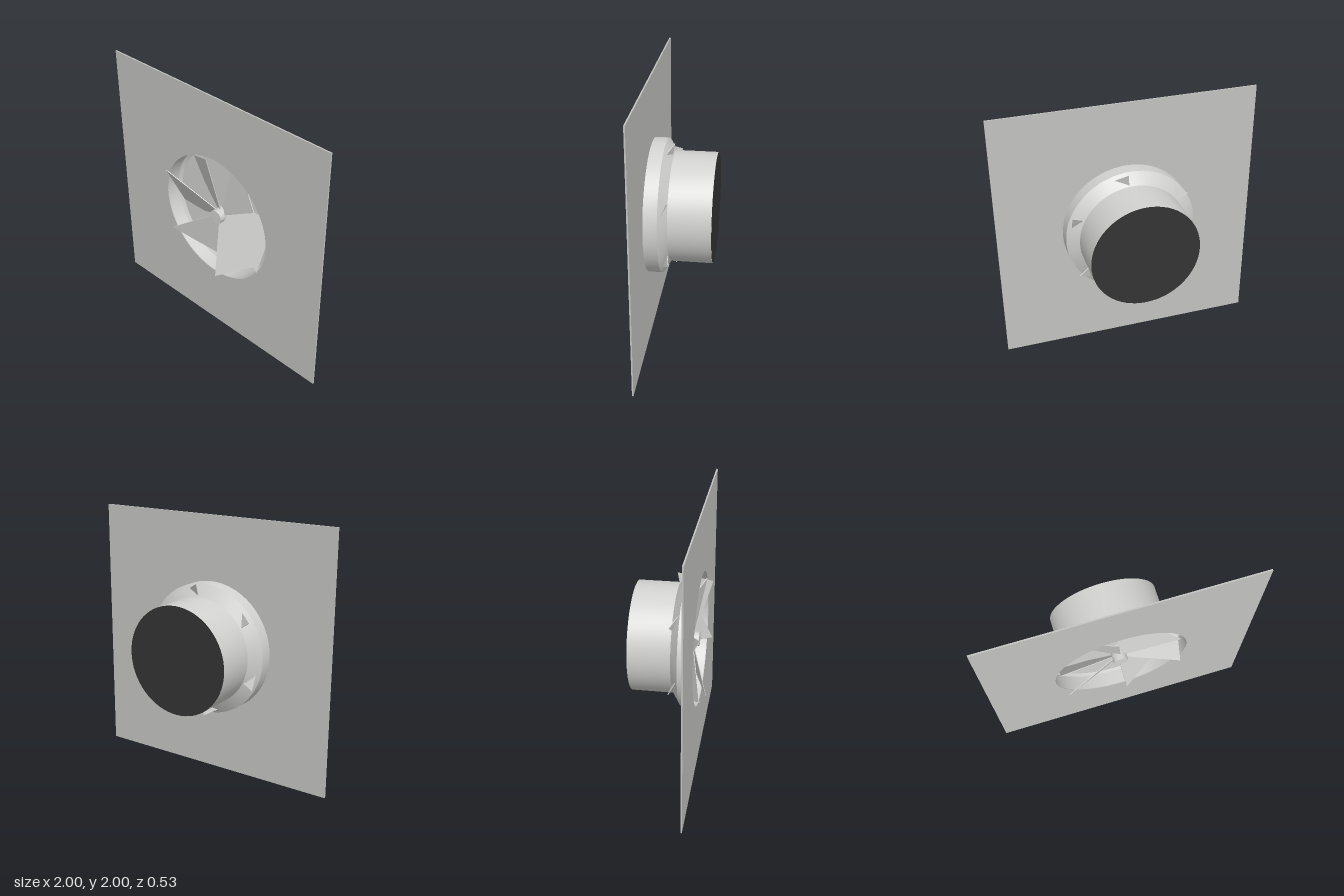
import * as THREE from 'three';
import { toCreasedNormals } from 'three/addons/utils/BufferGeometryUtils.js';

function material(name, color, side = THREE.FrontSide) {
  const m = new THREE.MeshStandardMaterial({ color, side });
  m.name = name;
  return m;
}

export function createModel() {
  const plateGrey = material('plate grey', 0xc2c2c0);
  const lightGrey = material('light grey', 0xd2d2d0, THREE.DoubleSide);
  const darkGrey = material('dark opening', 0x333333, THREE.DoubleSide);

  const model = new THREE.Group();
  model.name = 'swirlDiffuser';
  const body = new THREE.Group();
  body.name = 'diffuserBody';
  body.position.y = 1;
  model.add(body);

  const add = (name, geometry, mat, z = 0, parent = body) => {
    const mesh = new THREE.Mesh(geometry, mat);
    mesh.name = name;
    mesh.position.z = z;
    parent.add(mesh);
    return mesh;
  };

  // Square face plate with a round opening
  const square = new THREE.Shape([[-1, -1], [1, -1], [1, 1], [-1, 1]].map(p => new THREE.Vector2(...p)));
  square.holes.push(new THREE.Path().absarc(0, 0, 0.503, 0, Math.PI * 2, true));
  add('facePlate', new THREE.ExtrudeGeometry(square, { depth: 0.011, bevelEnabled: false, curveSegments: 64 }), plateGrey, 0.209);

  // Collar, tapered shoulder and duct in one turned shell
  const profile = [[0.413, -0.262], [0.413, 0.05], [0.503, 0.108], [0.503, 0.215]].map(p => new THREE.Vector2(...p));
  const shell = toCreasedNormals(new THREE.LatheGeometry(profile, 64).rotateX(Math.PI / 2), 0.4);
  add('collarAndDuct', shell, lightGrey);

  // Backing disc behind the blades, and the dark duct end
  add('backingDisc', new THREE.CircleGeometry(0.477, 64), lightGrey, 0.092);
  add('ductEnd', new THREE.CircleGeometry(0.413, 64).rotateY(Math.PI), darkGrey, -0.263);

  // Central hub
  const hub = new THREE.CylinderGeometry(0.055, 0.055, 0.13, 16).rotateX(Math.PI / 2);
  add('hub', toCreasedNormals(hub, 0.6), lightGrey, 0.145);

  // Six flat pitched blades that pierce the shoulder at their rear corners
  const outline = new THREE.Shape([[0.04, -0.035], [0.46, -0.25], [0.46, 0.25], [0.04, 0.035]].map(p => new THREE.Vector2(...p)));
  const blade = new THREE.ExtrudeGeometry(outline, { depth: 0.005, bevelEnabled: false })
    .translate(0, 0, -0.0025)
    .rotateX(-0.456);
  const blades = new THREE.Group();
  blades.name = 'blades';
  body.add(blades);
  for (let i = 0; i < 6; i++) {
    add('blade', blade, lightGrey, 0.15, blades).rotation.z = i * Math.PI / 3;
  }
  return model;
}
